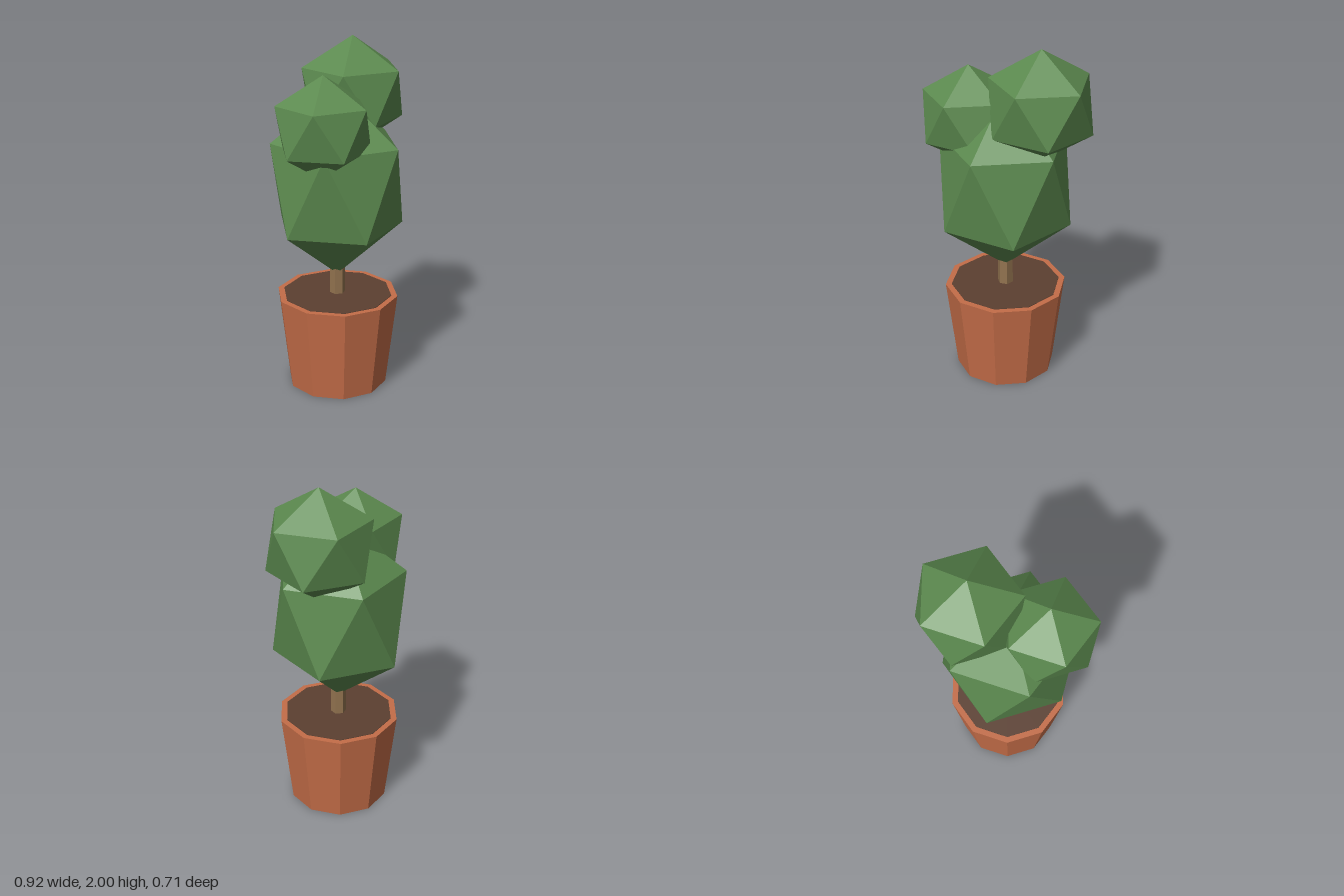
import * as THREE from 'three';

const flat = (name, color) => {
  const m = new THREE.MeshStandardMaterial({ color, flatShading: true });
  m.name = name;
  return m;
};

export function createModel() {
  const terracotta = flat('terracotta', 0xc46d48);
  const earth = flat('earth', 0x5c4031);
  const bark = flat('bark', 0x92734f);
  const leaf = flat('leaf green', 0x5c8a4f);

  const model = new THREE.Group();
  model.name = 'pottedShrub';
  const add = (name, geometry, material, x, y, z) => {
    const mesh = new THREE.Mesh(geometry, material);
    mesh.name = name;
    mesh.position.set(x, y, z);
    model.add(mesh);
  };

  // Ten-sided tapered pot with a thin disc of soil on top
  const axis = -0.015;
  add('pot', new THREE.CylinderGeometry(0.35, 0.287, 0.545, 10), terracotta, axis, 0.2725, 0);
  add('soil', new THREE.CylinderGeometry(0.315, 0.315, 0.004, 10), earth, axis, 0.546, 0);

  // Hexagonal trunk running up into the foliage
  add('trunk', new THREE.CylinderGeometry(0.042, 0.045, 0.5, 6), bark, axis, 0.78, 0);

  // Icosahedral leaf clumps, each standing on a point
  const tilt = -Math.atan(2 / (1 + Math.sqrt(5)));
  const clump = (name, radius, stretch, x, y, z) => {
    const g = new THREE.IcosahedronGeometry(radius, 0).rotateZ(tilt).scale(1, stretch, 1);
    add(name, g, leaf, x, y, z);
  };
  clump('mainFoliage', 0.417, 1.3, axis, 1.202, 0);
  clump('leftFoliage', 0.319, 1, 0.176, 1.681, -0.08);
  clump('rightFoliage', 0.288, 1, -0.206, 1.569, 0.095);

  return model;
}
